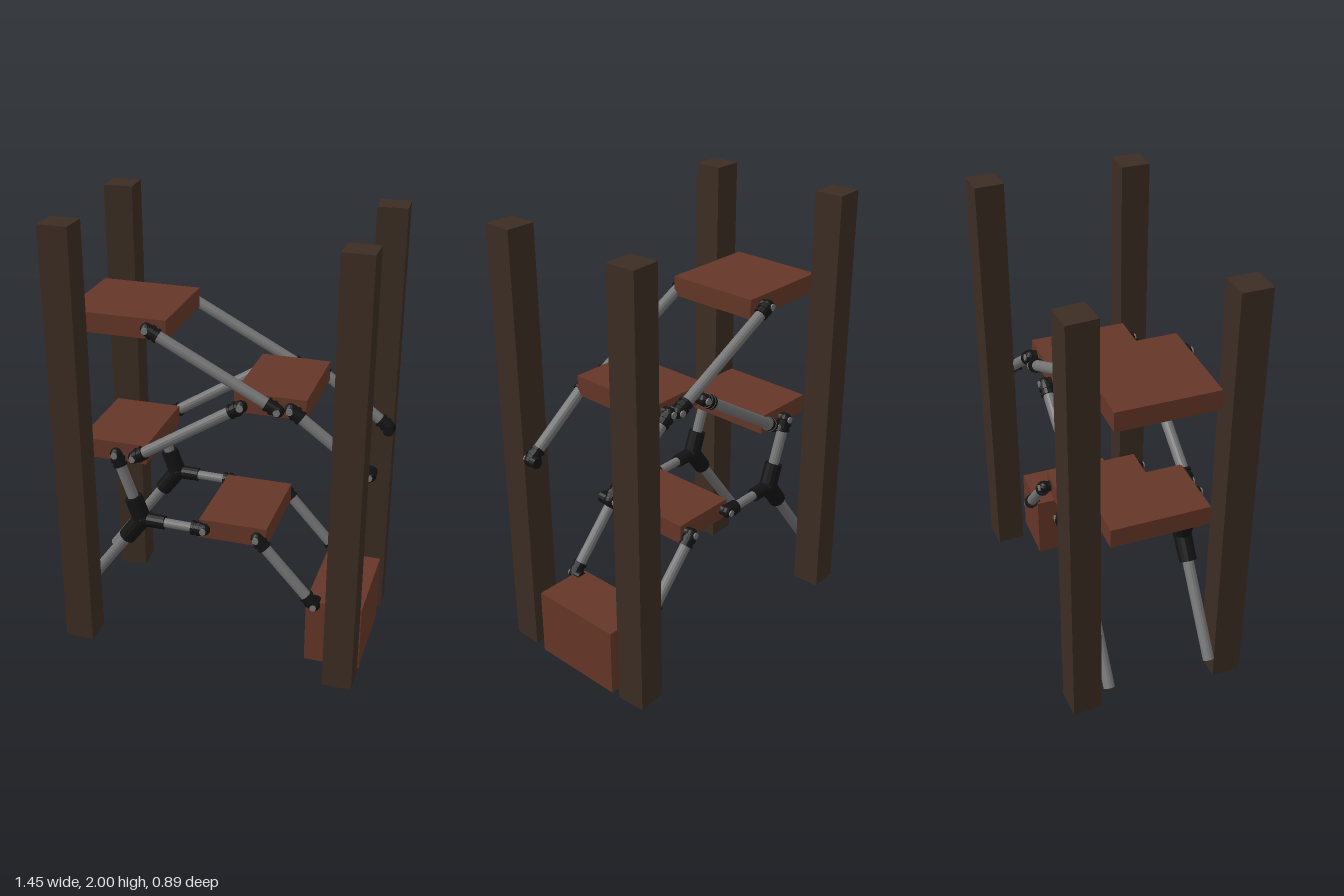
import * as THREE from 'three';

const TURN = -0.06; // the shelving sits slightly turned between the posts

const mat = (name, color, extra = {}) => {
  const m = new THREE.MeshStandardMaterial({ color, ...extra });
  m.name = name;
  return m;
};

export function createModel() {
  const postWood = mat('dark post wood', 0x3c2d23);
  const shelfWood = mat('red brown shelf wood', 0x653627);
  const steel = mat('grey pipe', 0x747474, { flatShading: true });
  const black = mat('black fitting', 0x131313, { flatShading: true });

  const model = new THREE.Group();
  model.name = 'pipeShelf';

  const add = (parent, name, geometry, material) => {
    const mesh = new THREE.Mesh(geometry, material);
    mesh.name = name;
    parent.add(mesh);
    return mesh;
  };

  // Cylinder between two points
  const rod = (parent, name, a, b, r0, r1, material) => {
    const dir = b.clone().sub(a);
    const mesh = add(parent, name, new THREE.CylinderGeometry(r1, r0, dir.length(), 14), material);
    mesh.position.copy(a).add(b).multiplyScalar(0.5);
    mesh.quaternion.setFromUnitVectors(new THREE.Vector3(0, 1, 0), dir.normalize());
    return mesh;
  };

  // Four corner posts: x, z, turn
  [[-0.585, -0.386, 0], [0.652, -0.302, 0], [-0.628, 0.29, TURN], [0.605, 0.373, TURN]]
    .forEach(([x, z, turn]) => {
      const post = add(model, 'post', new THREE.BoxGeometry(0.132, 1.985, 0.132), postWood);
      post.position.set(x, 1.0075, z);
      post.rotation.y = turn;
    });

  const shelving = new THREE.Group();
  shelving.name = 'shelving';
  shelving.rotation.y = TURN;
  model.add(shelving);

  // Boards and base block: x0, x1, y0, y1
  const boards = [
    ['topShelf', -0.658, -0.202, 1.493, 1.583],
    ['upperShelf', 0.097, 0.41, 1.21, 1.3],
    ['middleShelf', -0.622, -0.31, 0.893, 0.983],
    ['lowerShelf', -0.067, 0.246, 0.563, 0.653],
    ['baseBlock', 0.435, 0.69, 0, 0.318],
  ];
  for (const [name, x0, x1, y0, y1] of boards) {
    add(shelving, name, new THREE.BoxGeometry(x1 - x0, y1 - y0, 0.444), shelfWood)
      .position.set((x0 + x1) / 2, (y0 + y1) / 2, 0);
  }

  // Pipe end: sleeve, collar and a round knuckle with a short stub into the board
  const fitting = (parent, end, dir, inward) => {
    const at = (d) => end.clone().addScaledVector(dir, d);
    rod(parent, 'sleeve', at(0.005), at(0.05), 0.029, 0.029, black);
    rod(parent, 'collar', at(0.018), at(0.032), 0.034, 0.034, black);
    rod(parent, 'collar', at(0.046), at(0.058), 0.033, 0.033, black);
    add(parent, 'knuckle', new THREE.SphereGeometry(0.028, 12, 8), black).position.copy(end);
    const stub = end.clone();
    stub.z += inward * 0.045;
    rod(parent, 'stub', end, stub, 0.025, 0.025, black);
    const plug = end.clone();
    plug.z -= inward * 0.03;
    rod(parent, 'plug', end, plug, 0.015, 0.015, steel);
  };

  // Diagonal pipes: x, y of both ends
  const pipes = [
    [-0.285, 1.54, 0.29, 1.242],
    [-0.365, 0.925, 0.13, 1.24],
    [0.345, 1.255, 0.69, 1.0],
    [0.205, 0.607, 0.475, 0.308],
  ];
  // Three arms of the branching support: end x, y, pipe radius, hub arm radius, hub arm length
  const hub = [-0.337, 0.615];
  const arms = [
    [-0.45, 0.93, 0.025, 0.042, 0.115],
    [-0.04, 0.61, 0.021, 0.033, 0.11],
    [-0.685, 0.14, 0.026, 0.042, 0.13],
  ];

  for (const z of [0.23, -0.25]) {
    const side = new THREE.Group();
    side.name = z > 0 ? 'frontPipes' : 'backPipes';
    shelving.add(side);
    const inward = -Math.sign(z);

    for (const [x0, y0, x1, y1] of pipes) {
      const a = new THREE.Vector3(x0, y0, z);
      const b = new THREE.Vector3(x1, y1, z);
      const dir = b.clone().sub(a).normalize();
      rod(side, 'pipe', a, b, 0.025, 0.025, steel);
      fitting(side, a, dir, inward);
      fitting(side, b, dir.clone().negate(), inward);
    }

    const centre = new THREE.Vector3(...hub, z);
    add(side, 'hub', new THREE.SphereGeometry(0.044, 14, 10), black).position.copy(centre);
    arms.forEach(([x, y, r, hubR, hubLength], i) => {
      const end = new THREE.Vector3(x, y, z);
      const dir = end.clone().sub(centre).normalize();
      rod(side, 'supportPipe', centre, end, r, r, steel);
      rod(side, 'hubArm', centre, centre.clone().addScaledVector(dir, hubLength), hubR, hubR * 0.97, black);
      if (i < 2) fitting(side, end, dir.negate(), inward);
    });
  }
  return model;
}
